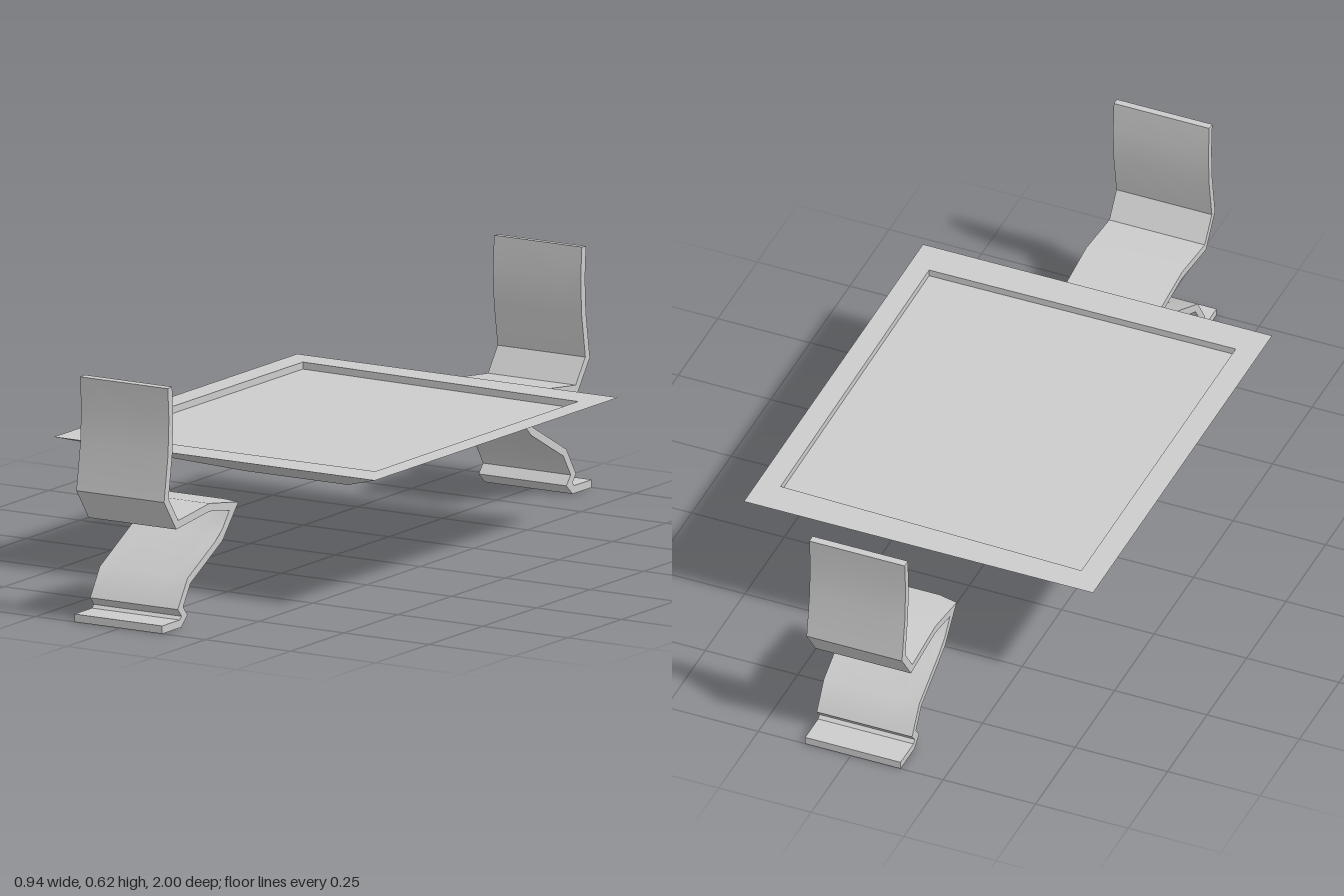
import * as THREE from 'three';
import { toCreasedNormals } from 'three/addons/utils/BufferGeometryUtils.js';

const material = new THREE.MeshStandardMaterial({ color: 0xcccccc });

// Folded ribbon centreline of a chair as (z, y), from backrest top to foot
const CHAIR_PATH = [
  [0.964, 0.62], [0.959, 0.54], [0.963, 0.45], [0.981, 0.335], [0.93, 0.264],
  [0.78, 0.281], [0.654, 0.263], [0.725, 0.193], [0.875, 0.112], [0.915, 0.049],
  [0.896, 0.027], [0.915, 0.01], [1.0, 0.01],
].map(([z, y]) => new THREE.Vector2(z, y));

// Thickens a path into a closed outline with mitred corners
function ribbonOutline(path, half) {
  const normal = (a, b) => {
    const d = b.clone().sub(a).normalize();
    return new THREE.Vector2(-d.y, d.x);
  };
  const left = [], right = [];
  path.forEach((p, i) => {
    const n0 = normal(path[Math.max(i - 1, 0)], path[Math.max(i, 1)]);
    const last = path.length - 1;
    const n1 = normal(path[Math.min(i, last - 1)], path[Math.min(i + 1, last)]);
    const miter = n0.clone().add(n1).normalize();
    miter.multiplyScalar(half / Math.max(miter.dot(n0), 0.45));
    left.push(p.clone().add(miter));
    right.push(p.clone().sub(miter));
  });
  return [...left, ...right.reverse()];
}

function chairGeometry() {
  const width = 0.258;
  const shape = new THREE.Shape(ribbonOutline(CHAIR_PATH, 0.01));
  const geo = new THREE.ExtrudeGeometry(shape, { depth: width, steps: 5, bevelEnabled: false });
  geo.rotateY(-Math.PI / 2).translate(width / 2, 0, 0);
  // The seat's front edge is slightly skewed at its two ends
  const pos = geo.attributes.position;
  for (let i = 0; i < pos.count; i++) {
    const x = pos.getX(i);
    if (pos.getZ(i) < 0.69 && Math.abs(x) > 0.12) {
      pos.setZ(i, pos.getZ(i) + (x < 0 ? -0.006 : 0.012));
    }
  }
  return toCreasedNormals(geo, 0.6);
}

// Inverted pyramid with a recessed top, lofted through four-cornered rings
function tableGeometry() {
  const rect = (hx, hz, y) =>
    [[-hx, y, -hz], [-hx, y, hz], [hx, y, hz], [hx, y, -hz]];
  const recess = (y) =>
    [[-0.41, y, -0.495], [-0.41, y, 0.482], [0.417, y, 0.477], [0.412, y, -0.475]];
  const rings = [
    rect(0.152, 0.185, 0.23),
    rect(0.472, 0.567, 0.35),
    recess(0.35),
    recess(0.332),
  ];
  const verts = [];
  const quad = (a, b, c, d) => verts.push(...a, ...b, ...c, ...a, ...c, ...d);
  for (let r = 0; r < rings.length - 1; r++) {
    for (let i = 0; i < 4; i++) {
      const j = (i + 1) % 4;
      quad(rings[r][i], rings[r][j], rings[r + 1][j], rings[r + 1][i]);
    }
  }
  quad(...[...rings[0]].reverse());
  quad(...rings[3]);
  const geo = new THREE.BufferGeometry();
  geo.setAttribute('position', new THREE.Float32BufferAttribute(verts, 3));
  geo.computeVertexNormals();
  return geo;
}

export function createModel() {
  const model = new THREE.Group();
  model.name = 'tableWithChairs';

  // Table
  const table = new THREE.Mesh(tableGeometry(), material);
  table.name = 'table';
  table.position.z = -0.004;
  model.add(table);

  // Two facing chairs, one turned half a circle
  const chair = chairGeometry();
  [['frontChair', 0], ['backChair', Math.PI]].forEach(([name, turn]) => {
    const mesh = new THREE.Mesh(chair, material);
    mesh.name = name;
    mesh.position.x = -0.006;
    mesh.rotation.y = turn;
    model.add(mesh);
  });
  return model;
}
